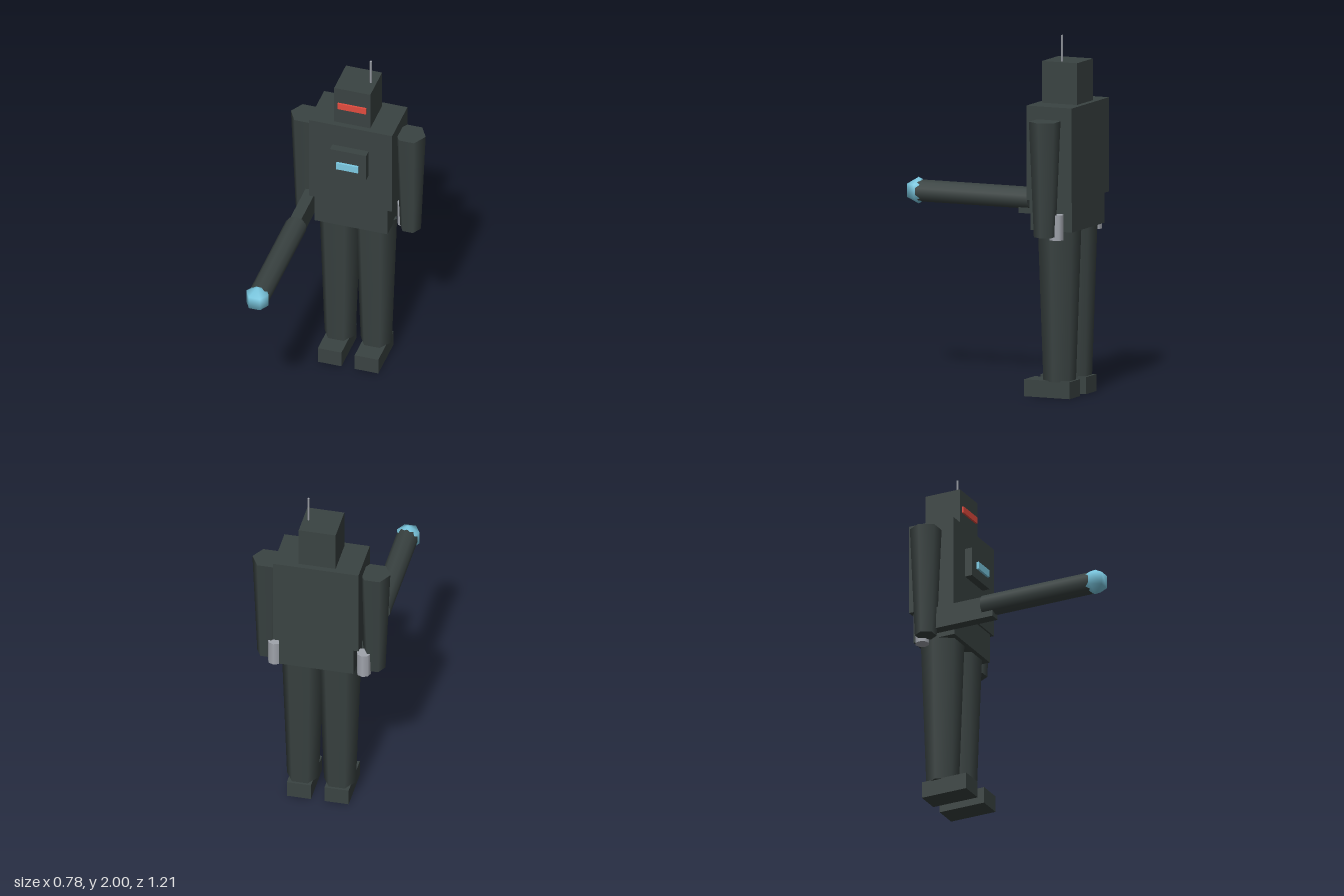
import * as THREE from 'three';

const mat = (name, color) => new THREE.MeshStandardMaterial({ name, color });

export function createModel() {
  const model = new THREE.Group();
  model.name = 'robot';
  const dark = mat('dark metal', 0x3a4342);
  const red = mat('visor red', 0xe24c3f);
  const blue = mat('glow blue', 0x7ccbe4);
  const grey = mat('grey metal', 0xa0a4ac);
  const AXIS = -0.47; // depth of the body's centre line

  const add = (name, geometry, material, x, y, z) => {
    const mesh = new THREE.Mesh(geometry, material);
    mesh.name = name;
    mesh.position.set(x, y, z);
    model.add(mesh);
    return mesh;
  };
  // Box given by its limits on each axis
  const box = (name, material, x0, x1, y0, y1, z0, z1) =>
    add(name, new THREE.BoxGeometry(x1 - x0, y1 - y0, z1 - z0), material,
      (x0 + x1) / 2, (y0 + y1) / 2, (z0 + z1) / 2);
  // Upright tapered prism with corners pointing sideways
  const column = (name, material, rTop, rBottom, y0, y1, x, z, sides = 6) =>
    add(name, new THREE.CylinderGeometry(rTop, rBottom, y1 - y0, sides, 1, false, Math.PI / 2),
      material, x, (y0 + y1) / 2, z);

  // Head and body
  box('head', dark, -0.104, 0.104, 1.62, 1.853, -0.575, -0.363);
  box('visor', red, -0.082, 0.082, 1.72, 1.757, -0.37, -0.352);
  column('antenna', grey, 0.007, 0.007, 1.85, 2, 0.073, AXIS, 4);
  box('torso', dark, -0.24, 0.24, 1.1, 1.622, -0.607, -0.332);
  box('pelvis', dark, -0.21, 0.21, 0.93, 1.1, -0.595, -0.342);
  box('chestPanel', dark, -0.104, 0.104, 1.318, 1.485, -0.34, -0.288);
  box('chestLight', blue, -0.063, 0.063, 1.37, 1.412, -0.281, -0.268);

  // Paired limbs
  for (const [side, s] of [['left', 1], ['right', -1]]) {
    column(side + 'Arm', dark, 0.087, 0.06, 0.91, 1.55, s * 0.301, AXIS - 0.002);
    column(side + 'Leg', dark, 0.12, 0.09, 0.09, 0.95, s * 0.104, AXIS);
    box(side + 'Foot', dark, s * 0.106 - 0.068, s * 0.106 + 0.068, 0, 0.094, -0.562, -0.288);
    column(side + 'HipCylinder', grey, 0.04, 0.04, 0.89, 1.03, s * 0.25, -0.52, 8);
  }

  // Tool held forward by the right arm
  box('toolHandle', dark, -0.285, -0.223, 0.95, 1.077, -0.45, -0.068);
  const barrel = add('toolBarrel', new THREE.CylinderGeometry(0.061, 0.061, 0.685, 10), dark,
    -0.25, 1.034, 0.208);
  barrel.rotation.x = Math.PI / 2;
  add('toolTip', new THREE.SphereGeometry(0.074, 6, 3), blue, -0.253, 1.034, 0.551);

  return model;
}
